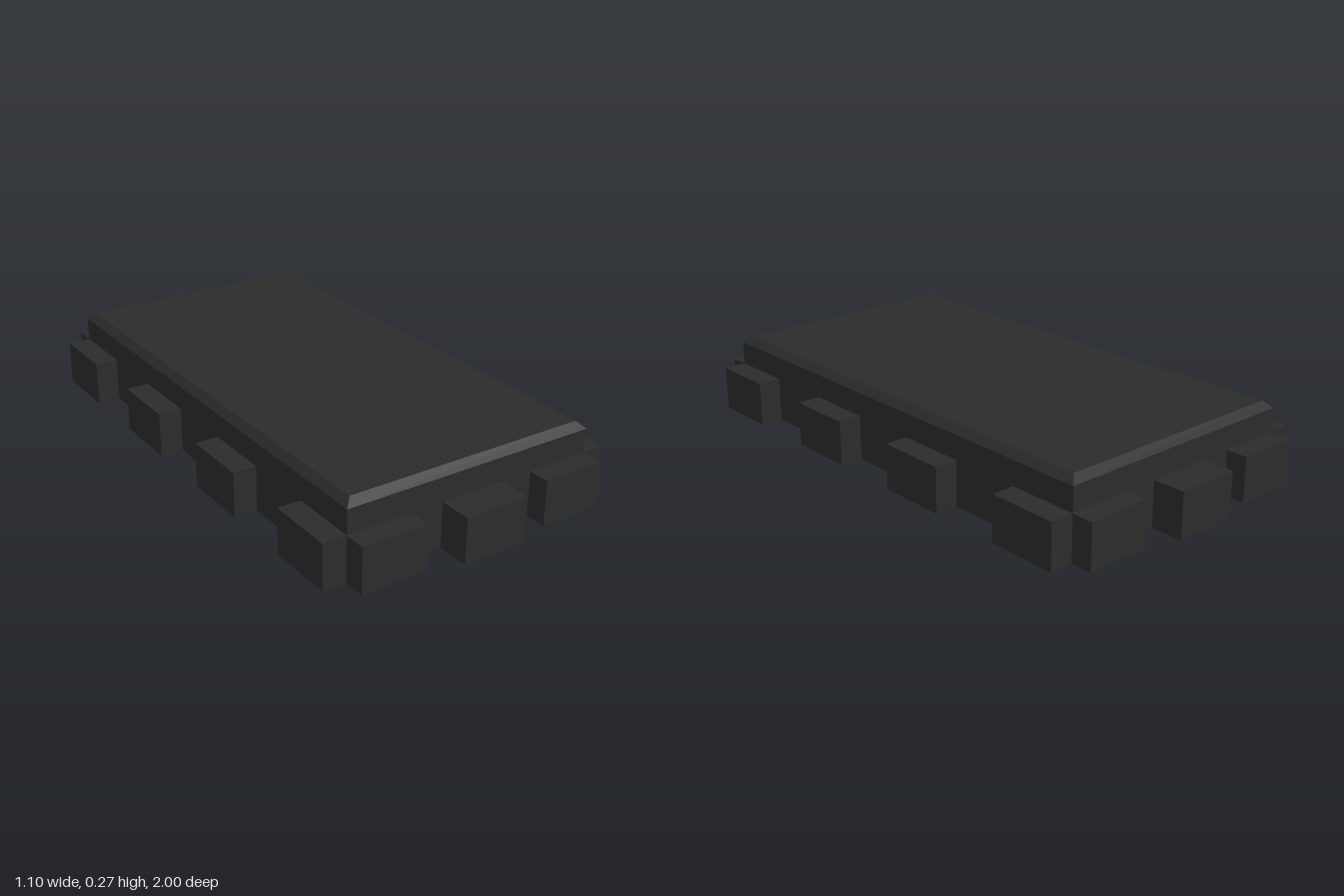
import * as THREE from 'three';

const W = 0.465, D = 0.885;          // half width and half depth of the body
const TOP = 0.27, BEVEL = 0.025;
const BLOCK_H = 0.16;

const material = new THREE.MeshStandardMaterial({ color: 0x2b2b2b, flatShading: true });

// Box given by its x and z extents, standing on the ground
function block(name, x0, x1, z0, z1) {
  const geometry = new THREE.BoxGeometry(x1 - x0, BLOCK_H, z1 - z0);
  geometry.translate((x0 + x1) / 2, BLOCK_H / 2, (z0 + z1) / 2);
  const mesh = new THREE.Mesh(geometry, material);
  mesh.name = name;
  return mesh;
}

// Slab whose top edge is chamfered all round
function bevelledSlab() {
  const box = new THREE.BoxGeometry(2 * W, TOP, 2 * D, 1, 2, 1);
  const p = box.attributes.position;
  for (let i = 0; i < p.count; i++) {
    const y = p.getY(i);
    if (y > 0.01) {
      p.setX(i, Math.sign(p.getX(i)) * (W - BEVEL));
      p.setZ(i, Math.sign(p.getZ(i)) * (D - BEVEL));
    } else if (y > -0.01) {
      p.setY(i, TOP / 2 - BEVEL);
    }
  }
  const geometry = box.toNonIndexed();
  geometry.computeVertexNormals();
  geometry.translate(0, TOP / 2, 0);
  const mesh = new THREE.Mesh(geometry, material);
  mesh.name = 'body';
  return mesh;
}

export function createModel() {
  const group = new THREE.Group();
  group.name = 'studdedSlab';
  group.add(bevelledSlab());

  // Four blocks along each long side
  const sideRanges = [[-D, -0.635], [-0.373, -0.12], [0.137, 0.385], [0.643, D]];
  for (const [z0, z1] of sideRanges) {
    group.add(block('leftSideBlock', W, 0.548, z0, z1));
    group.add(block('rightSideBlock', -0.548, -W, z0, z1));
  }

  // Three blocks on each end, the middle one standing out further
  const endRanges = [[-W, -0.234, 0.962], [-0.116, 0.116, 1], [0.234, W, 0.962]];
  for (const [x0, x1, reach] of endRanges) {
    group.add(block('frontBlock', x0, x1, D, reach));
    group.add(block('backBlock', x0, x1, -reach, -D));
  }
  return group;
}
